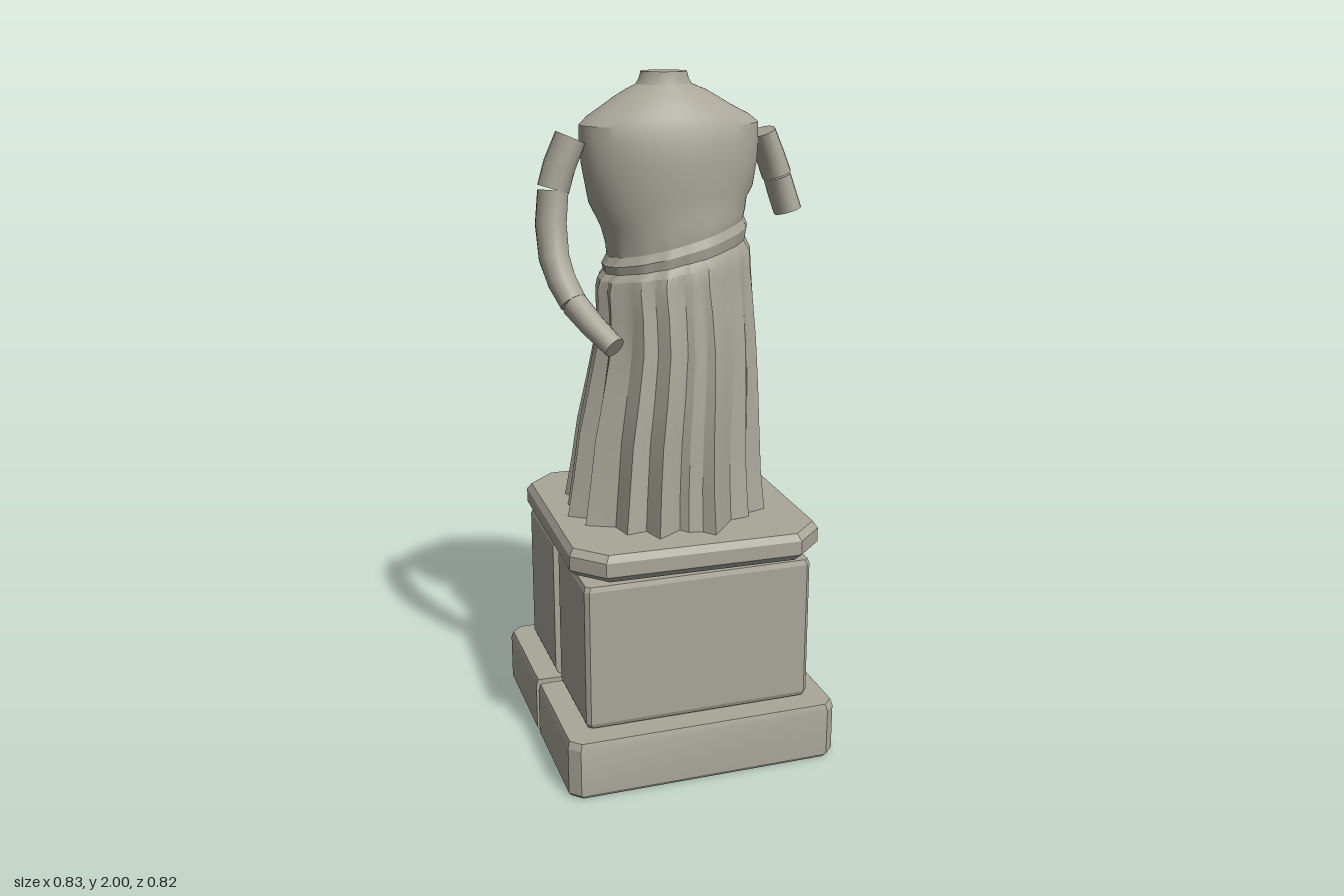
import * as THREE from 'three';
import { mergeVertices, toCreasedNormals } from 'three/addons/utils/BufferGeometryUtils.js';

const V = (x, y, z) => new THREE.Vector3(x, y, z);

// Closed skin through rings of equal point count; caps fan out from the given centres
function loft(rings, bottom, top, crease = 0.5) {
  const n = rings[0].length, pts = rings.flat(), idx = [];
  for (let r = 0; r < rings.length - 1; r++) {
    for (let i = 0; i < n; i++) {
      const a = r * n + i, b = r * n + (i + 1) % n;
      idx.push(a, a + n, b, b, a + n, b + n);
    }
  }
  const last = (rings.length - 1) * n, c = pts.length;
  pts.push(bottom, top);
  for (let i = 0; i < n; i++) {
    const j = (i + 1) % n;
    idx.push(c, i, j, c + 1, last + j, last + i);
  }
  // Turn the skin outward if its signed volume is negative
  let volume = 0;
  const cross = V(0, 0, 0);
  for (let i = 0; i < idx.length; i += 3) {
    volume += pts[idx[i]].dot(cross.crossVectors(pts[idx[i + 1]], pts[idx[i + 2]]));
  }
  if (volume < 0) idx.reverse();
  const g = new THREE.BufferGeometry().setFromPoints(pts);
  g.setIndex(idx);
  return toCreasedNormals(mergeVertices(g, 1e-5), crease);
}

// Chamfered block outline with a wedge-shaped slot on the right side
function outline(hx, hz, ch, gap) {
  const p = [[hx, -hz + ch], [hx, hz - ch], [hx - ch, hz], [-hx + ch, hz], [-hx, hz - ch]];
  if (gap) p.push([-hx, gap / 2], [-0.02, 0.002], [-0.02, -0.002], [-hx, -gap / 2]);
  p.push([-hx, -hz + ch], [-hx + ch, -hz], [hx - ch, -hz]);
  return p;
}

// Stacks scaled copies of an outline: levels are [y, scale]
function block(shape, levels) {
  const rings = levels.map(([y, s]) => shape.map(([x, z]) => V(x * s, y, z * s)));
  return loft(rings, V(0, levels[0][0], 0), V(0, levels.at(-1)[0], 0), 0.3);
}

// Oval limb along stations [x, y, z, sideRadius, depthRadius]
function limb(stations, sides = 16) {
  const p = stations.map(s => V(s[0], s[1], s[2]));
  const rings = p.map((c, k) => {
    const t = p[Math.min(k + 1, p.length - 1)].clone().sub(p[Math.max(k - 1, 0)]).normalize();
    const side = t.clone().cross(V(0, 0, 1)).normalize();
    const depth = side.clone().cross(t);
    return Array.from({ length: sides }, (_, i) => {
      const a = i / sides * Math.PI * 2;
      return c.clone().addScaledVector(side, Math.cos(a) * stations[k][3])
        .addScaledVector(depth, Math.sin(a) * stations[k][4]);
    });
  });
  return loft(rings, p[0], p.at(-1), 0.6);
}

// Hem of the skirt: ridges and valleys of the folds, [x, z]
const hem = [
  [.29, -.02], [.262, .03], [.293, .07], [.25, .105], [.27, .15], [.21, .17], [.2, .2],
  [.14, .21], [.057, .31], [.03, .275], [-.01, .265], [-.03, .24], [-.105, .29],
  [-.125, .22], [-.185, .23], [-.2, .16], [-.28, .12], [-.255, .07], [-.31, .03],
  [-.265, -.02], [-.285, -.07], [-.235, -.1], [-.27, -.163], [-.19, -.16], [-.15, -.27],
  [-.1, -.225], [-.05, -.31], [-.005, -.295], [.065, -.24], [.16, -.27], [.2, -.24],
  [.215, -.165], [.295, -.105], [.255, -.06]
];

// Figure levels: [y, centreX, radiusX, radiusZ, fold strength, tilt]
const levels = [
  [.715, 0, .27, .27, 1, 0], [.84, .005, .258, .252, .92, 0], [.97, .012, .25, .24, .82, 0],
  [1.1, .024, .238, .228, .7, 0], [1.235, .034, .226, .213, .56, .02],
  [1.34, .032, .222, .2, .46, .06], [1.42, .028, .222, .187, .36, .12],
  [1.46, .03, .22, .184, .26, .18], [1.485, .031, .205, .17, .2, .22],
  [1.515, .032, .212, .175, .13, .25], [1.54, .034, .2, .165, .08, .26],
  [1.57, .035, .205, .168, .04, .24], [1.61, .03, .215, .163, 0, .18],
  [1.66, .022, .242, .165, 0, .08], [1.75, .018, .258, .169, 0, 0],
  [1.81, .017, .262, .165, 0, 0], [1.857, .017, .262, .153, 0, 0],
  [1.88, .014, .235, .143, 0, 0], [1.905, .008, .19, .128, 0, 0],
  [1.93, .005, .15, .108, 0, 0], [1.95, .004, .115, .088, 0, 0],
  [1.965, 0, .08, .073, 0, 0], [1.98, 0, .07, .068, 0, 0], [2, 0, .065, .065, 0, 0]
];

function figure() {
  const fine = hem.flatMap(([x, z], i) => {
    const [u, w] = hem[(i + 1) % hem.length];
    return [0, 1 / 3, 2 / 3].map(f => [x + (u - x) * f, z + (w - z) * f]);
  });
  const rings = levels.map(([y, cx, rx, rz, fold, tilt]) => fine.map(([x, z]) => {
    const a = Math.atan2(z, x), k = 1 + fold * (Math.hypot(x, z) / .27 - 1);
    const px = rx * k * Math.cos(a);
    return V(cx + px, y + tilt * px, rz * k * Math.sin(a));
  }));
  return loft(rings, V(0, levels[0][0], 0), V(0, 2, 0), 0.45);
}

export function createModel() {
  const model = new THREE.Group();
  const stone = new THREE.MeshStandardMaterial({ color: 0xa9a699 });
  stone.name = 'weathered stone';
  const add = (name, geometry) => {
    const mesh = new THREE.Mesh(geometry, stone);
    mesh.name = name;
    model.add(mesh);
    return mesh;
  };

  // Pedestal: split plinth and die, chamfered cap slab
  add('plinth', block(outline(.41, .41, .03, .03), [[0, .98], [.012, 1], [.155, 1], [.175, .985]]));
  add('pedestalDie', block(outline(.342, .342, .012, .07),
    [[.17, .93], [.182, .985], [.195, 1], [.605, 1], [.62, .985]]));
  const slab = add('capSlab', block(outline(.375, .378, .085, 0),
    [[.615, .8], [.635, .82], [.637, .95], [.658, 1], [.7, 1], [.72, .965]]));
  slab.position.x = .01;
  slab.rotation.y = -.02;

  // Draped body from hem to neck
  add('drapedBody', figure());

  // Right arm, bent forward, in three fractured pieces
  add('rightUpperArm', limb([[-.272, 1.825, 0, .044, .058], [-.305, 1.75, 0, .045, .057],
    [-.325, 1.685, .003, .045, .055]]));
  add('rightElbow', limb([[-.326, 1.68, .003, .043, .053], [-.337, 1.59, .015, .044, .052],
    [-.337, 1.5, .045, .043, .05], [-.325, 1.44, .08, .041, .047], [-.303, 1.385, .12, .039, .043]]));
  add('rightForearm', limb([[-.3, 1.38, .124, .038, .042], [-.265, 1.33, .185, .035, .039],
    [-.222, 1.28, .25, .031, .034]]));

  // Left arm, broken off above the elbow
  add('leftUpperArm', limb([[.297, 1.825, 0, .038, .06], [.328, 1.75, 0, .04, .06],
    [.346, 1.7, .003, .041, .059]]));
  add('leftArmStump', limb([[.348, 1.695, .003, .038, .056], [.362, 1.65, .006, .039, .056],
    [.38, 1.595, .012, .039, .055]]));
  return model;
}
